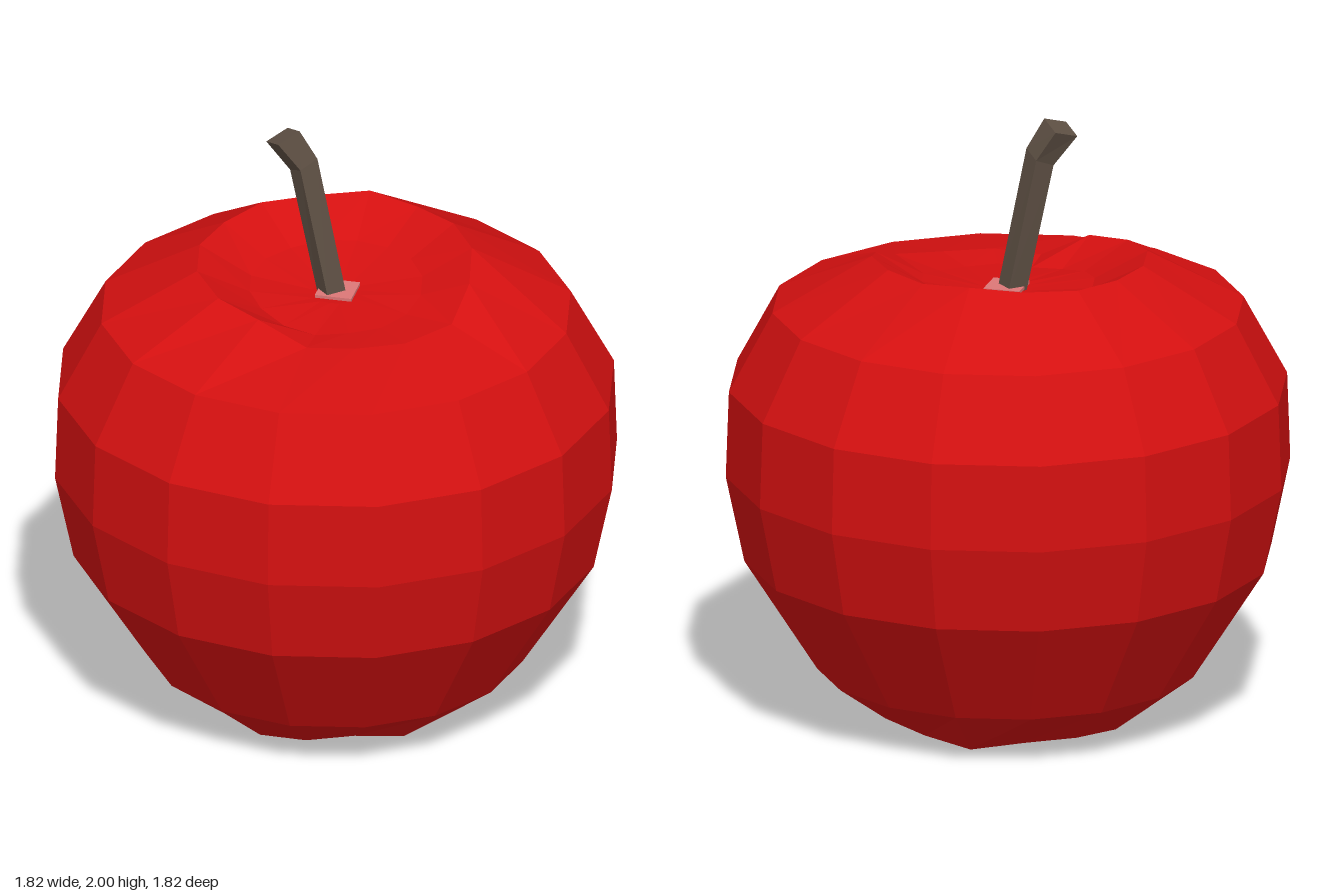
import * as THREE from 'three';

// Joins closed rings of points (listed bottom to top) into a faceted skin.
// A ring with a single point closes the skin as a fan.
function skin(rings) {
  const pos = [];
  const tri = (...pts) => pts.forEach((p) => pos.push(...p));
  for (let j = 0; j < rings.length - 1; j++) {
    const lo = rings[j], hi = rings[j + 1];
    const n = Math.max(lo.length, hi.length);
    for (let i = 0; i < n; i++) {
      const a = lo[i % lo.length], b = lo[(i + 1) % lo.length];
      const c = hi[(i + 1) % hi.length], d = hi[i % hi.length];
      if (lo.length > 1) tri(a, b, c);
      if (hi.length > 1) tri(a, c, d);
    }
  }
  const geo = new THREE.BufferGeometry();
  geo.setAttribute('position', new THREE.Float32BufferAttribute(pos, 3));
  geo.computeVertexNormals();
  return geo;
}

function part(name, geo, color) {
  const mesh = new THREE.Mesh(geo, new THREE.MeshStandardMaterial({ color, flatShading: true }));
  mesh.name = name;
  return mesh;
}

const SIDES = 16;
// Radius and height may be a number or one value per side, starting at +z and going towards +x
const ring = (r, y) => Array.from({ length: SIDES }, (_, i) => {
  const a = (i / SIDES) * Math.PI * 2;
  const rad = Array.isArray(r) ? r[i] : r;
  return [Math.sin(a) * rad, Array.isArray(y) ? y[i] : y, Math.cos(a) * rad];
});

export function createModel() {
  const group = new THREE.Group();
  group.name = 'apple';

  // Uneven rims around the top and bottom hollows
  const topR = [0.39, 0.41, 0.43, 0.46, 0.44, 0.44, 0.44, 0.44, 0.45, 0.44, 0.46, 0.445, 0.45, 0.45, 0.44, 0.42];
  const topY = [1.42, 1.43, 1.43, 1.45, 1.51, 1.55, 1.555, 1.55, 1.565, 1.55, 1.545, 1.54, 1.54, 1.535, 1.52, 1.5];
  const pitY = [1.41, 1.42, 1.42, 1.43, 1.45, 1.46, 1.47, 1.47, 1.47, 1.47, 1.46, 1.46, 1.45, 1.45, 1.44, 1.42];
  const baseR = [0.4, 0.4, 0.42, 0.43, 0.41, 0.42, 0.45, 0.43, 0.44, 0.42, 0.45, 0.44, 0.44, 0.44, 0.42, 0.41];
  const baseY = [0.01, 0.03, 0.01, 0.03, 0.04, 0.03, 0.05, 0.03, 0.01, 0.03, 0.04, 0.03, 0.04, 0.03, 0.02, 0];

  // Apple skin, from the bottom hollow round the outside to the top hollow
  group.add(part('appleBody', skin([
    [[0, 0.17, 0]],
    ring(0.29, 0.13),
    ring(baseR, baseY),
    ring(0.615, 0.17),
    ring(0.85, 0.54),
    ring(0.91, 0.825),
    ring(0.9, 1.11),
    ring(0.76, 1.37),
    ring(topR, topY),
    ring(0.28, pitY),
    ring(0.08, 1.425),
    [[0, 1.42, 0]],
  ]), 0xd41010));

  // Pale patch where the stem enters
  const socket = part('stemSocket', new THREE.CylinderGeometry(0.085, 0.085, 0.01, 4, 1), 0xdd7777);
  socket.rotation.y = Math.PI / 4;
  socket.position.set(0.005, 1.433, 0);
  group.add(socket);

  // Bent stem with a diamond section: centre x, y, z, half width, half depth, tilt
  const stem = [
    [-0.012, 1.42, 0.005, 0.048, 0.048, 0],
    [-0.105, 1.875, 0.005, 0.045, 0.045, 0.025],
    [-0.17, 1.975, 0.02, 0.055, 0.062, 0.025],
  ].map(([x, y, z, w, d, t]) => [
    [x, y, z + d], [x + w, y + t, z], [x, y, z - d], [x - w, y - t, z],
  ]);
  const [sx, sy, sz] = [-0.17, 1.975, 0.02];
  group.add(part('stem', skin([[[-0.012, 1.42, 0.005]], ...stem, [[sx, sy, sz]]]), 0x5e5044));

  return group;
}
